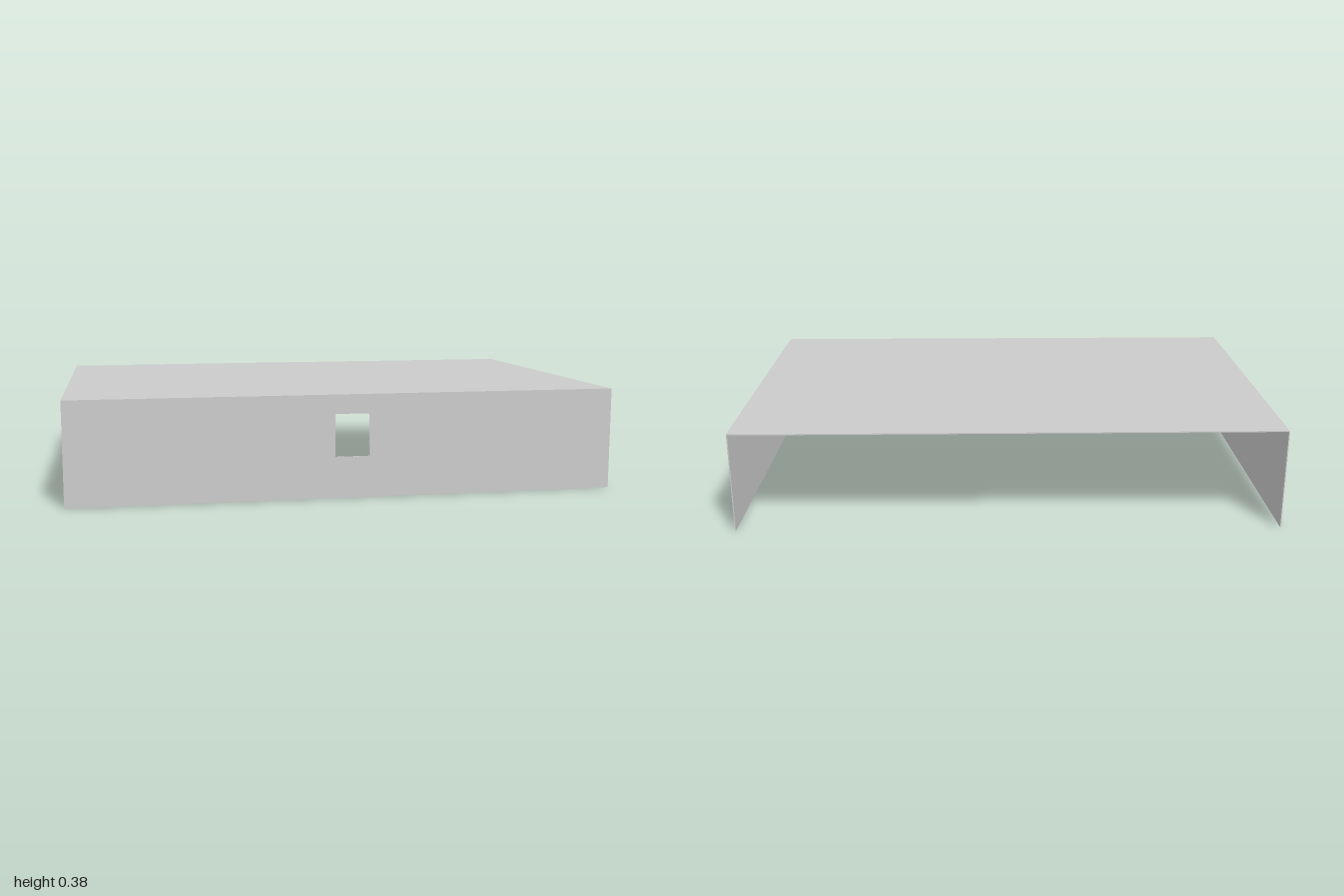
import * as THREE from 'three';

const HALF_W = 1, HALF_D = 0.655, HEIGHT = 0.375, T = 0.004;

export function createModel() {
  const group = new THREE.Group();
  const material = new THREE.MeshStandardMaterial({ color: 0xcccccc, side: THREE.DoubleSide });

  const outline = (points) => new THREE.Shape(points.map(([x, y]) => new THREE.Vector2(x, y)));
  const sheet = (name, shape) => {
    const geometry = new THREE.ExtrudeGeometry(shape, { depth: T, bevelEnabled: false });
    const mesh = new THREE.Mesh(geometry, material);
    mesh.name = name;
    group.add(mesh);
    return mesh;
  };

  // Top sheet, with a slightly clipped back corner
  const top = sheet('topPanel', outline([
    [-HALF_W, -HALF_D], [HALF_W, -HALF_D], [HALF_W, 0.65], [0.975, HALF_D], [-HALF_W, HALF_D],
  ]));
  top.rotation.x = -Math.PI / 2;
  top.position.y = HEIGHT - T;

  // Front sheet with its rectangular window
  const front = outline([
    [-HALF_W, 0], [HALF_W, 0], [HALF_W, HEIGHT - T], [-HALF_W, HEIGHT - T],
  ]);
  front.holes.push(outline([[-0.05, 0.15], [-0.05, 0.305], [0.075, 0.305], [0.075, 0.15]]));
  sheet('frontPanel', front).position.z = HALF_D - T;

  // Side sheets; the back and underside stay open
  for (const [name, x, back] of [['leftPanel', HALF_W - T, 0.65], ['rightPanel', -HALF_W, HALF_D]]) {
    const side = sheet(name, outline([
      [-HALF_D + T, 0], [back, 0], [back, HEIGHT - T], [-HALF_D + T, HEIGHT - T],
    ]));
    side.rotation.y = Math.PI / 2;
    side.position.x = x;
  }

  return group;
}
